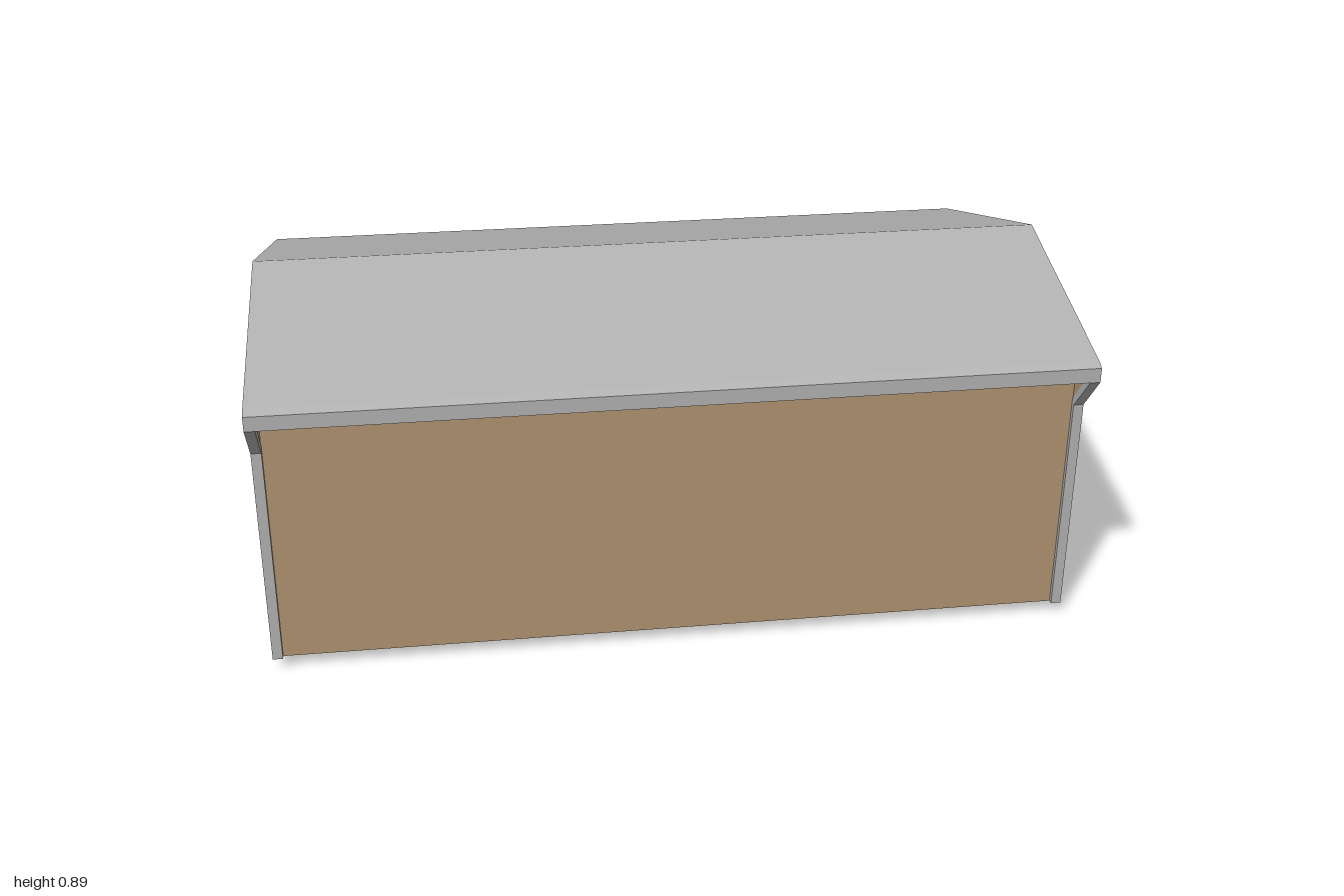
import * as THREE from 'three';

export function createModel() {
  const group = new THREE.Group();
  group.name = 'shed';

  const metal = new THREE.MeshStandardMaterial({ color: 0xb2b2b2 });
  metal.name = 'grey metal';
  const board = new THREE.MeshStandardMaterial({ color: 0xb09370 });
  board.name = 'tan cladding';

  // Extrude a [z, y] profile along x, from x0 to x1
  function profile(name, points, x0, x1, material) {
    const shape = new THREE.Shape(points.map(([z, y]) => new THREE.Vector2(z, y)));
    const geo = new THREE.ExtrudeGeometry(shape, { depth: x1 - x0, bevelEnabled: false });
    geo.rotateY(-Math.PI / 2);
    geo.translate(x1, 0, 0);
    const mesh = new THREE.Mesh(geo, material);
    mesh.name = name;
    group.add(mesh);
  }

  // Box given by its z and y limits
  function bar(name, z0, z1, y0, y1, x0, x1, material) {
    profile(name, [[z0, y0], [z1, y0], [z1, y1], [z0, y1]], x0, x1, material);
  }

  const base = 0.035;

  // Uneven pitched roof sheet with folded eaves
  profile('roof', [
    [0.655, 0.705], [0.655, 0.742], [0.635, 0.752], [0.09, 0.893],
    [-0.65, 0.668], [-0.65, 0.63], [-0.59, 0.63], [-0.59, 0.657],
    [0.09, 0.858], [0.635, 0.712],
  ], -1, 1, metal);

  // Long walls, open underneath
  bar('frontWall', 0.546, 0.558, base, 0.735, -0.98, 0.98, board);
  bar('backWall', -0.617, -0.605, base, 0.64, -0.98, 0.98, board);

  for (const side of [-1, 1]) {
    // Sort a pair of distances from the middle into x limits
    const span = (a, b) => (side > 0 ? [a, b] : [-b, -a]);

    // Gable wall with flared front top
    profile('gableWall', [
      [-0.606, base], [0.546, base], [0.546, 0.6], [0.637, 0.712],
      [0.09, 0.859], [-0.59, 0.658], [-0.606, 0.632],
    ], ...span(0.976, 0.988), board);

    // Front corner trim that kicks out to the eave
    profile('frontCornerTrim', [
      [0.545, base], [0.57, base], [0.57, 0.605], [0.655, 0.705],
      [0.635, 0.712], [0.545, 0.602],
    ], ...span(0.975, 1), metal);

    bar('backCornerTrim', -0.628, -0.604, base, 0.635, ...span(0.975, 1), metal);

    // Inner corner gusset under the front slope
    profile('gusset', [[0.546, 0.525], [0.546, 0.735], [0.34, 0.79], [0.34, 0.76]],
      ...span(0.968, 0.976), metal);
  }

  // Ground runners
  for (const z of [0.487, 0.395, -0.03, -0.455, -0.546]) {
    bar('runner', z - 0.017, z + 0.017, 0, 0.036, -0.985, 0.985, metal);
  }

  return group;
}
